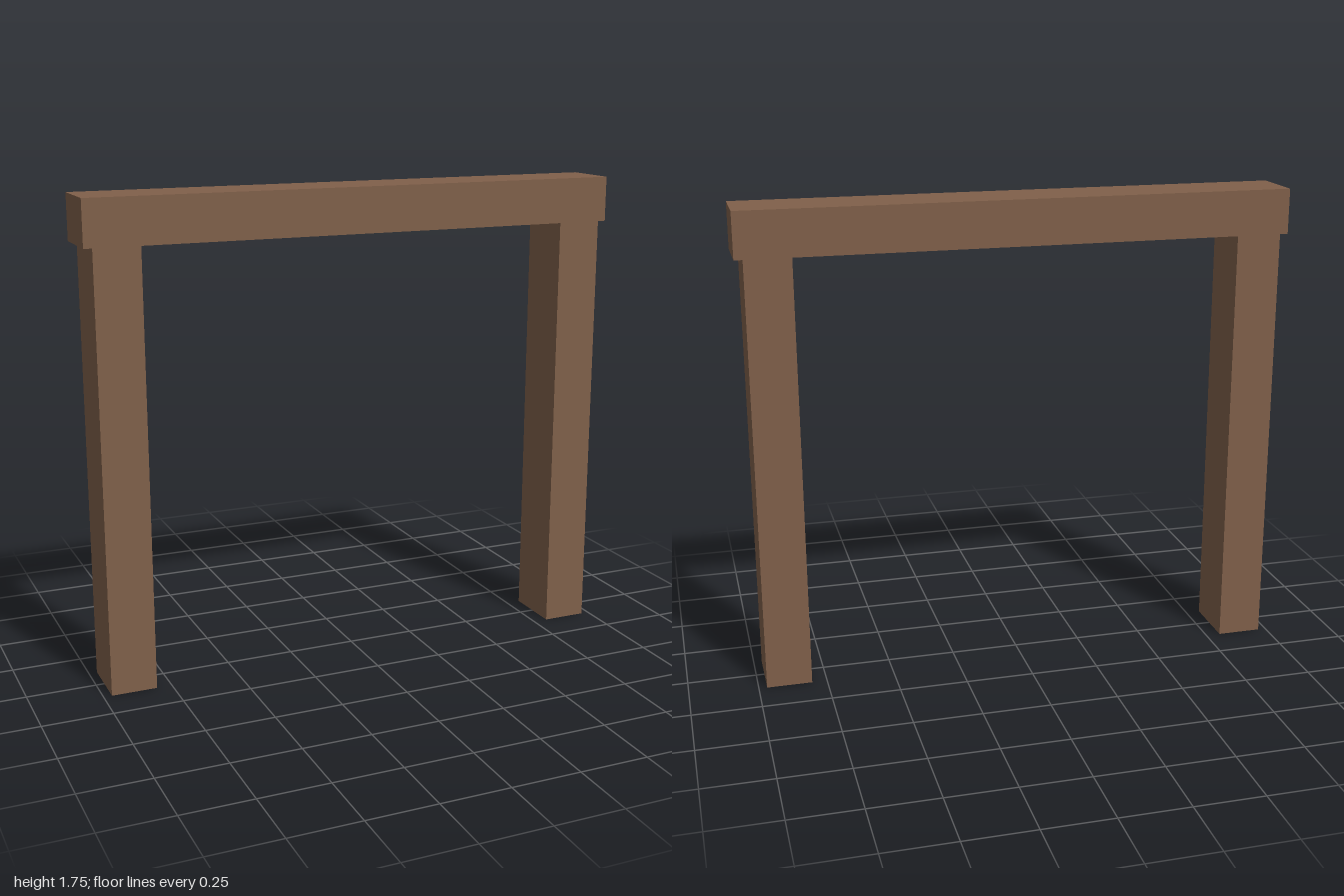
import * as THREE from 'three';

const DEPTH = 0.22;
const TOP = 1.75;
const BEAM_HEIGHT = 0.165;
const POST_WIDTH = 0.165;
const POST_X = 0.8875;

export function createModel() {
  const model = new THREE.Group();
  model.name = 'woodenFrame';

  const wood = new THREE.MeshStandardMaterial({ color: 0x80604a });
  wood.name = 'brown wood';

  // Adds a timber standing on the given base height
  const addTimber = (name, width, height, x, base) => {
    const timber = new THREE.Mesh(new THREE.BoxGeometry(width, height, DEPTH), wood);
    timber.name = name;
    timber.position.set(x, base + height / 2, 0);
    model.add(timber);
  };

  // Lintel overhanging the posts
  const postHeight = TOP - BEAM_HEIGHT;
  addTimber('topBeam', 2, BEAM_HEIGHT, 0, postHeight);

  // Mirrored posts
  for (const side of [1, -1]) {
    addTimber(side > 0 ? 'leftPost' : 'rightPost', POST_WIDTH, postHeight, side * POST_X, 0);
  }

  return model;
}
